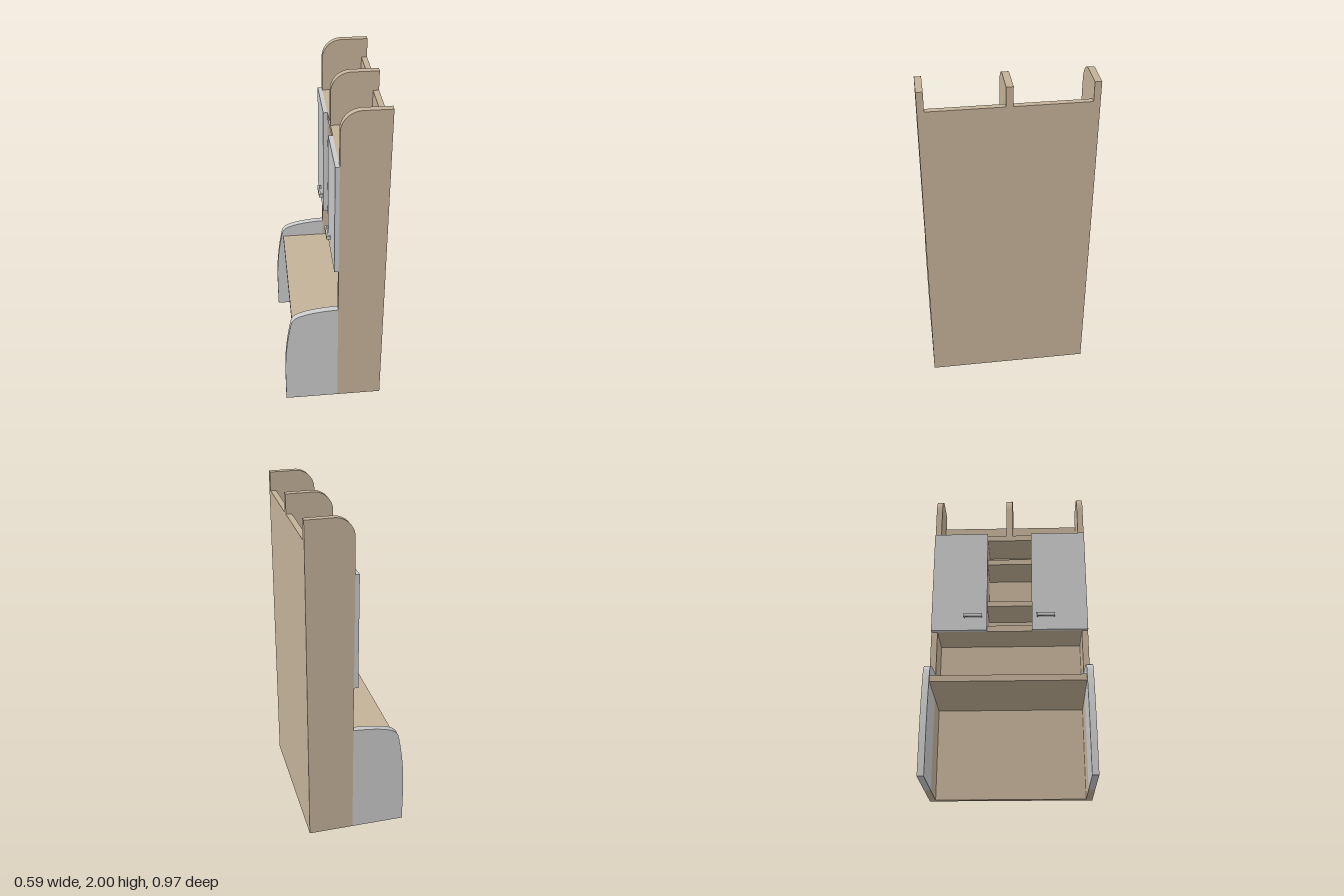
import * as THREE from 'three';
import { toCreasedNormals } from 'three/addons/utils/BufferGeometryUtils.js';

export function createModel() {
  const group = new THREE.Group();
  const wood = new THREE.MeshStandardMaterial({ color: 0xc4b299 });
  wood.name = 'light wood';
  const grey = new THREE.MeshStandardMaterial({ color: 0xcacaca });
  grey.name = 'pale grey';

  const add = (name, geometry, material) => {
    const mesh = new THREE.Mesh(geometry, material);
    mesh.name = name;
    group.add(mesh);
    return mesh;
  };
  // Box given by its limits on each axis
  const box = (name, material, [x0, x1], [y0, y1], [z0, z1]) => {
    const mesh = add(name, new THREE.BoxGeometry(x1 - x0, y1 - y0, z1 - z0), material);
    mesh.position.set((x0 + x1) / 2, (y0 + y1) / 2, (z0 + z1) / 2);
  };
  // Upright board cut to an x-y outline
  const board = (name, material, shape, z0, z1) => {
    const geometry = new THREE.ExtrudeGeometry(shape, { depth: z1 - z0, bevelEnabled: false, curveSegments: 12 });
    add(name, toCreasedNormals(geometry, 0.5), material).position.z = z0;
  };

  const FRONT = 0.025, BACK = 0.296, WALL = 0.262;
  const OUT = 0.485, INN = 0.447, DOOR = 0.14;

  // Tall board with a rounded top front corner
  const tallShape = (bottom) => {
    const r = 0.115;
    const s = new THREE.Shape();
    s.moveTo(FRONT, bottom);
    s.lineTo(BACK, bottom);
    s.lineTo(BACK, 2);
    s.lineTo(FRONT + r, 2);
    s.absarc(FRONT + r, 2 - r, r, Math.PI / 2, Math.PI, false);
    s.closePath();
    return s;
  };

  // Curved desk side
  const wing = new THREE.Shape();
  wing.moveTo(FRONT, 0);
  wing.lineTo(FRONT, 0.705);
  wing.quadraticCurveTo(-0.12, 0.7, -0.2, 0.672);
  wing.quadraticCurveTo(-0.245, 0.655, -0.254, 0.62);
  wing.bezierCurveTo(-0.285, 0.48, -0.298, 0.33, -0.298, 0.2);
  wing.lineTo(-0.298, 0);
  wing.closePath();

  for (const side of [-1, 1]) {
    // Span on one side of the middle, in ascending order
    const span = (a, b) => (side > 0 ? [a, b] : [-b, -a]);
    board('sidePanel', wood, tallShape(0), ...span(INN, OUT));
    board('deskSide', grey, wing, ...span(INN, OUT));
    box('partition', wood, [FRONT, WALL], [1.03, 1.642], span(DOOR, DOOR + 0.036));

    // Door with a bracket handle
    box('door', grey, [0, FRONT], [0.99, 1.68], span(DOOR, OUT));
    box('handleBar', grey, [-0.024, -0.013], [1.075, 1.097], span(0.17, 0.283));
    for (const z of [0.17, 0.275]) {
      box('handleLeg', grey, [-0.013, 0], [1.075, 1.097], span(z, z + 0.008));
    }
  }

  // Back wall, top divider, worktop and cabinet boards
  box('backPanel', wood, [WALL, BACK], [0, 1.885], [-INN, INN]);
  board('topDivider', wood, tallShape(1.68), -0.02, 0.02);
  box('worktop', wood, [-0.247, WALL], [0.557, 0.595], [-INN, INN]);
  box('cabinetBottom', wood, [FRONT, WALL], [0.99, 1.03], [-INN, INN]);
  box('cabinetTop', wood, [FRONT, WALL], [1.642, 1.68], [-INN, INN]);

  // Open shelves between the doors
  for (const top of [1.2, 1.5]) {
    box('middleShelf', wood, [FRONT, WALL], [top - 0.036, top], [-DOOR, DOOR]);
  }
  return group;
}
